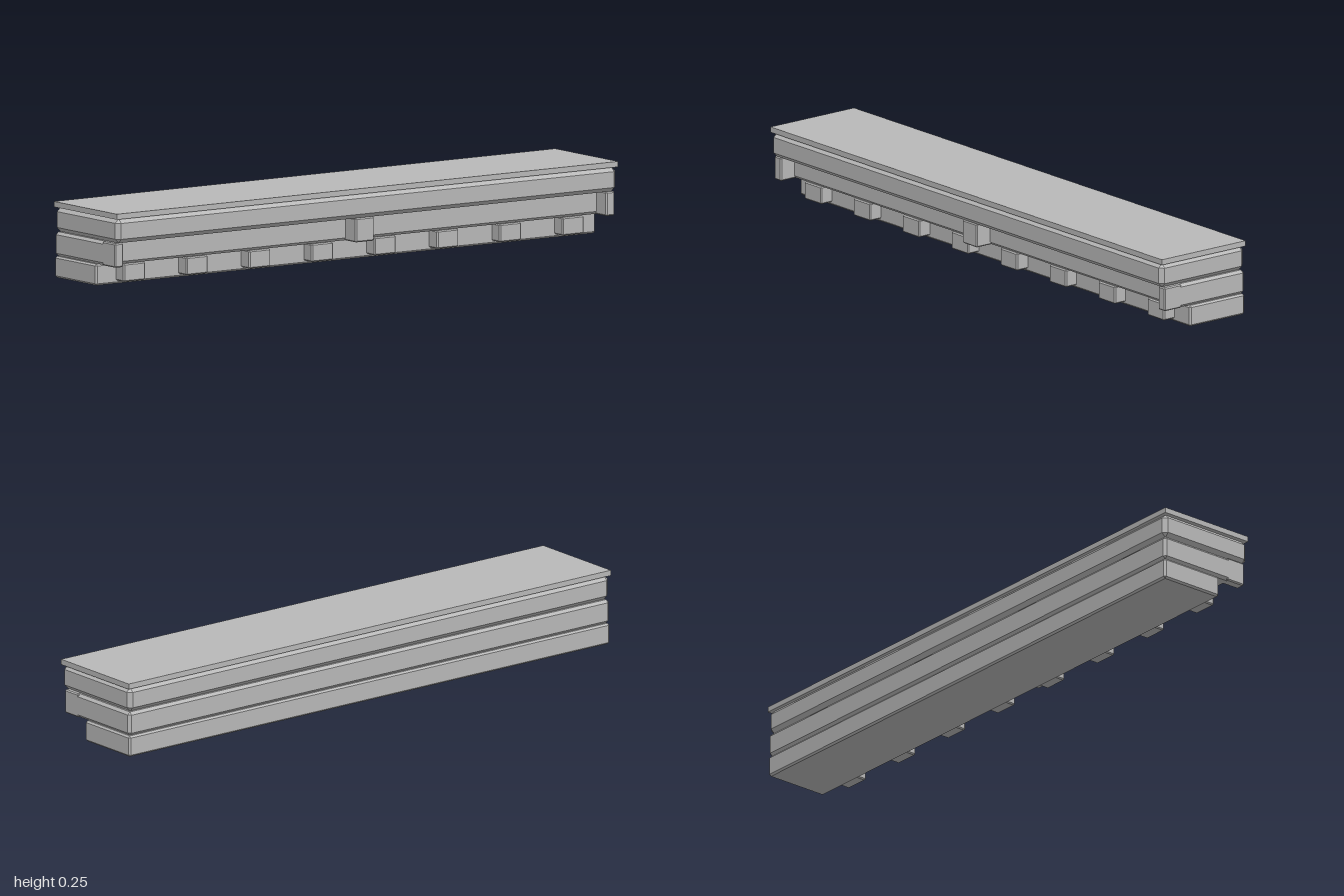
import * as THREE from 'three';
import { ConvexGeometry } from 'three/addons/geometries/ConvexGeometry.js';

// Box given by its limits, with every edge cut at 45 degrees by c
function chamferBox(x0, x1, y0, y1, z0, z1, c) {
  const half = [(x1 - x0) / 2, (y1 - y0) / 2, (z1 - z0) / 2];
  const points = [];
  for (const sx of [-1, 1]) for (const sy of [-1, 1]) for (const sz of [-1, 1]) {
    for (let axis = 0; axis < 3; axis++) {
      const h = half.map((v, i) => (i === axis ? v : v - c));
      points.push(new THREE.Vector3(sx * h[0], sy * h[1], sz * h[2]));
    }
  }
  const geometry = new ConvexGeometry(points);
  geometry.translate((x0 + x1) / 2, (y0 + y1) / 2, (z0 + z1) / 2);
  return geometry;
}

export function createModel() {
  const model = new THREE.Group();
  model.name = 'cornice';
  const stone = new THREE.MeshStandardMaterial({ color: 0xb8b8b8 });
  stone.name = 'grey stone';

  const add = (name, geometry) => {
    const mesh = new THREE.Mesh(geometry, stone);
    mesh.name = name;
    model.add(mesh);
    return mesh;
  };

  // Thin slab on top
  add('topSlab', new THREE.BoxGeometry(2, 0.018, 0.35)).position.y = 0.241;

  // Three stacked courses, stepping out toward the front
  add('upperCourse', chamferBox(-0.997, 0.997, 0.152, 0.232, -0.175, 0.175, 0.014));
  add('middleCourse', chamferBox(-0.997, 0.997, 0.072, 0.151, -0.175, 0.105, 0.009));
  add('lowerCourse', chamferBox(-0.997, 0.997, 0.001, 0.071, -0.175, 0.055, 0.006));

  // Large brackets below the upper course: half-width at both ends
  for (const [x0, x1] of [[-0.997, -0.963], [-0.037, 0.037], [0.963, 0.997]]) {
    add('bracket', chamferBox(x0, x1, 0.072, 0.151, 0.09, 0.161, 0.004));
  }

  // Row of small dentils below the middle course
  for (let i = 0; i < 8; i++) {
    const x = -0.875 + i * 0.25;
    add('dentil', chamferBox(x - 0.043, x + 0.043, 0.012, 0.071, 0.04, 0.1, 0.004));
  }

  return model;
}
